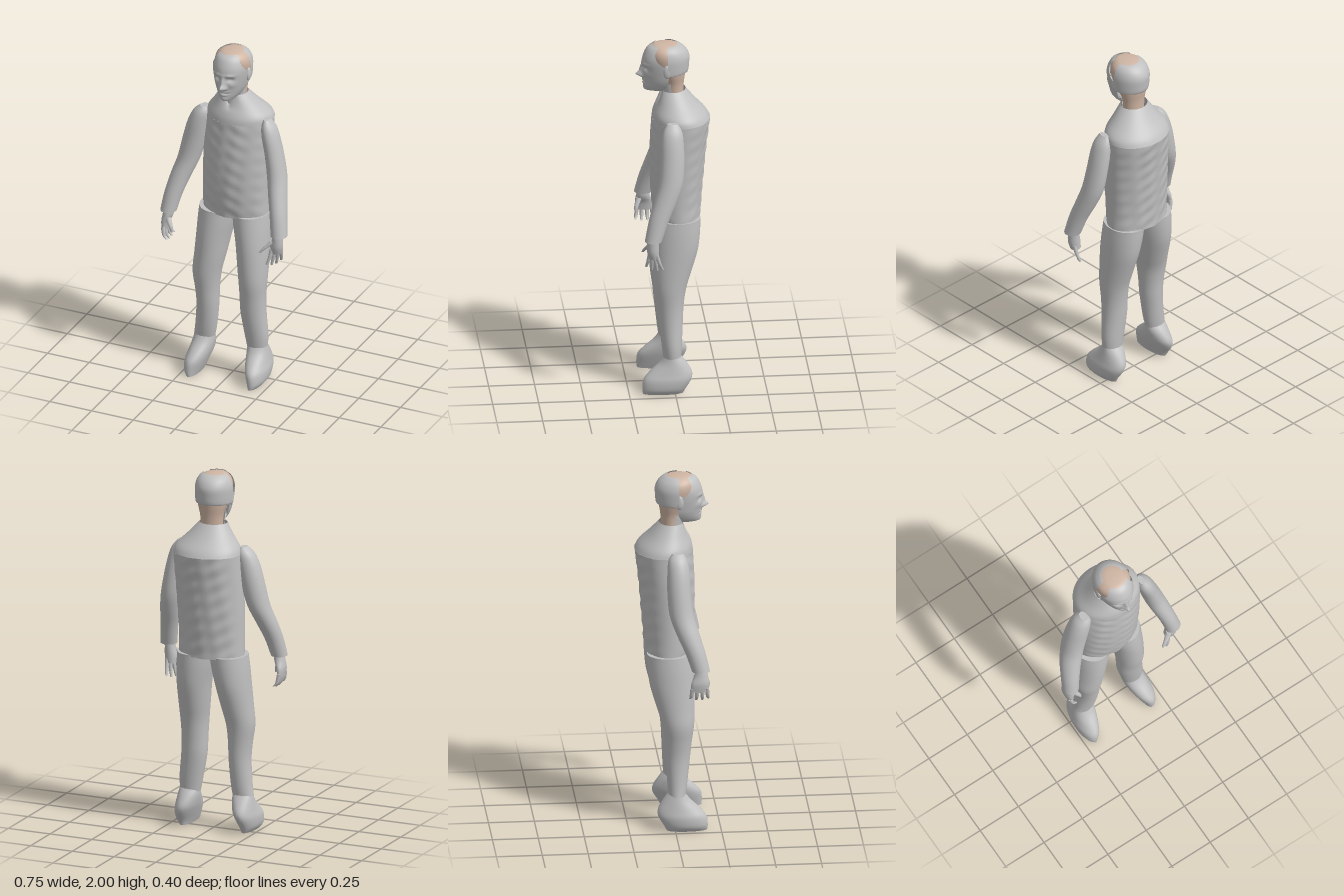
import * as THREE from 'three';

const grey = new THREE.MeshStandardMaterial({ color: 0xc0c0c0, side: THREE.DoubleSide });
grey.name = 'plain grey';
const tan = new THREE.MeshStandardMaterial({ color: 0xcfb5a3 });
tan.name = 'skin tan';

const gauss = (x, y, cx, cy, sx, sy) => Math.exp(-(((x - cx) / sx) ** 2) - ((y - cy) / sy) ** 2);

// Catmull-Rom subdivision of the section rows
function refine(rows, steps) {
  const out = [];
  for (let i = 0; i < rows.length - 1; i++) {
    const p = [rows[Math.max(i - 1, 0)], rows[i], rows[i + 1], rows[Math.min(i + 2, rows.length - 1)]];
    for (let s = 0; s < steps; s++) {
      const t = s / steps;
      out.push(p[1].map((b, k) => {
        const a = p[0][k], c = p[2][k], d = p[3][k];
        return b + 0.5 * t * (c - a + t * (2 * a - 5 * b + 4 * c - d + t * (3 * (b - c) + d - a)));
      }));
    }
  }
  out.push(rows[rows.length - 1]);
  return out;
}

// Skin over oval sections, bottom to top: [y, xMin, xMax, zMin, zMax, arc half-angle (open skins)]
function loft(name, rows, material, { seg = 32, steps = 4, mid = 0, open = false, caps = true, warp } = {}) {
  const fine = refine(rows, steps);
  const n = open ? seg + 1 : seg;
  const pos = [], index = [];
  for (const [y, x0, x1, z0, z1, arc = Math.PI] of fine) {
    for (let j = 0; j < n; j++) {
      const a = mid - arc + (2 * arc * j) / seg;
      const v = new THREE.Vector3((x0 + x1) / 2 + ((x1 - x0) / 2) * Math.sin(a), y,
        (z0 + z1) / 2 + ((z1 - z0) / 2) * Math.cos(a));
      if (warp) warp(v, a);
      pos.push(v.x, v.y, v.z);
    }
  }
  for (let i = 0; i < fine.length - 1; i++) {
    for (let j = 0; j < seg; j++) {
      const a = i * n + j, b = i * n + ((j + 1) % n);
      index.push(a, b, b + n, a, b + n, a + n);
    }
  }
  if (caps && !open) {
    // separate rim vertices keep the cap edges sharp
    for (const [row, up] of [[0, false], [fine.length - 1, true]]) {
      const start = pos.length / 3, r = fine[row];
      pos.push(...pos.slice(row * n * 3, (row + 1) * n * 3));
      pos.push((r[1] + r[2]) / 2, r[0], (r[3] + r[4]) / 2);
      for (let j = 0; j < n; j++) {
        const a = start + j, b = start + ((j + 1) % n);
        index.push(start + n, up ? a : b, up ? b : a);
      }
    }
  }
  const g = new THREE.BufferGeometry();
  g.setAttribute('position', new THREE.Float32BufferAttribute(pos, 3));
  g.setIndex(index);
  g.computeVertexNormals();
  const mesh = new THREE.Mesh(g, material);
  mesh.name = name;
  return mesh;
}

// Finger through points listed tip to root: [x, y, z, radius]
const finger = (name, pts) => loft(name,
  pts.map(([x, y, z, r]) => [y, x - r, x + r, z - r, z + r]), grey, { seg: 10, steps: 4 });

function ball(name, x, y, z, sx, sy, sz) {
  const m = new THREE.Mesh(new THREE.SphereGeometry(1, 20, 14), grey);
  m.name = name;
  m.position.set(x, y, z);
  m.scale.set(sx, sy, sz);
  return m;
}

// Soft cloth dents
function dent(v) {
  const w = 0.0025 * (Math.sin(v.x * 47 + v.y * 31) * Math.sin(v.y * 43 - v.x * 29) + 0.5 * Math.sin(v.y * 71 + v.x * 60));
  v.z += Math.sign(v.z + 0.03) * w * Math.min(1, Math.abs(v.z + 0.03) * 15);
}

// Facial relief
function faceRelief(v) {
  if (v.z < 0.04) return;
  const x = v.x - 0.01, y = v.y;
  v.z += 0.016 * gauss(x, y, 0, 1.85, 0.012, 0.03) + 0.032 * gauss(x, y, 0, 1.822, 0.016, 0.015);
  v.z += 0.007 * gauss(x, y, 0, 1.791, 0.025, 0.006) + 0.008 * gauss(x, y, 0, 1.774, 0.022, 0.007);
  v.z -= 0.007 * gauss(x, y, 0, 1.782, 0.03, 0.004);
  v.z += 0.006 * gauss(x, y, 0, 1.748, 0.022, 0.012);
  for (const s of [-1, 1]) {
    v.z -= 0.014 * gauss(x, y, s * 0.037, 1.868, 0.02, 0.012);
    v.z += 0.006 * gauss(x, y, s * 0.038, 1.893, 0.026, 0.008);
    v.z += 0.006 * gauss(x, y, s * 0.05, 1.835, 0.02, 0.018);
    v.z += 0.01 * gauss(x, y, s * 0.016, 1.816, 0.008, 0.008);
  }
}

function makeHead() {
  const head = new THREE.Group();
  head.name = 'head';
  head.add(loft('skull', [
    [1.66, -0.05, 0.07, -0.06, 0.045], [1.76, -0.055, 0.075, -0.062, 0.045],
    [1.82, -0.07, 0.09, -0.07, 0.07], [1.88, -0.085, 0.105, -0.078, 0.115],
    [1.93, -0.09, 0.11, -0.08, 0.13], [1.965, -0.08, 0.1, -0.068, 0.128],
    [1.988, -0.055, 0.076, -0.04, 0.112], [1.997, -0.03, 0.05, -0.01, 0.09], [2, 0.005, 0.015, 0.03, 0.05],
  ], tan, { seg: 40 }));
  head.add(loft('face', [
    [1.755, -0.04, 0.06, -0.03, 0.06, 1.5], [1.732, -0.03, 0.05, -0.05, 0.142, 1.5],
    [1.752, -0.05, 0.07, -0.07, 0.155, 1.55], [1.79, -0.07, 0.09, -0.09, 0.158, 1.6],
    [1.83, -0.081, 0.101, -0.1, 0.162, 1.6], [1.88, -0.09, 0.11, -0.1, 0.166, 1.55],
    [1.92, -0.093, 0.113, -0.1, 0.163, 1.15], [1.955, -0.085, 0.105, -0.09, 0.15, 0.95],
    [1.98, -0.07, 0.09, -0.07, 0.133, 0.95], [1.995, -0.052, 0.074, -0.05, 0.108, 0.9],
  ], grey, { seg: 72, steps: 8, open: true, warp: faceRelief }));
  head.add(loft('throat', [
    [1.65, -0.055, 0.075, -0.06, 0.062, 1.4], [1.71, -0.055, 0.075, -0.06, 0.058, 1.4],
    [1.78, -0.06, 0.08, -0.065, 0.07, 1.4],
  ], grey, { open: true }));
  // hair band round the back, open over the crown
  head.add(loft('backHair', [
    [1.84, -0.085, 0.105, -0.055, 0.125, 1.55], [1.84, -0.093, 0.113, -0.085, 0.155, 1.55],
    [1.89, -0.097, 0.117, -0.092, 0.162, 1.55], [1.93, -0.096, 0.116, -0.092, 0.162, 1.55],
    [1.965, -0.084, 0.106, -0.075, 0.145, 1.55], [1.988, -0.064, 0.088, -0.048, 0.118, 1.55],
    [1.997, -0.048, 0.07, -0.028, 0.098, 1.55],
  ], grey, { open: true, mid: Math.PI, seg: 36 }));
  for (const s of [-1, 1]) {
    head.add(ball('ear', 0.01 + s * 0.096, 1.866, 0.035, 0.011, 0.04, 0.022));
    head.add(ball('eye', 0.01 + s * 0.037, 1.868, 0.126, 0.013, 0.008, 0.012));
  }
  return head;
}

function makeHand(side) {
  const hand = new THREE.Group();
  if (side < 0) {
    hand.name = 'rightHand';
    hand.add(loft('palm', [[0.865, -0.362, -0.335, 0.075, 0.165], [0.91, -0.368, -0.325, 0.075, 0.172],
      [0.95, -0.362, -0.305, 0.09, 0.168], [0.99, -0.355, -0.3, 0.1, 0.16]], grey, { seg: 20 }));
    [0.082, 0.108, 0.134, 0.16].forEach((z, i) => hand.add(finger('finger', [
      [-0.322, 0.805 + 0.008 * Math.abs(i - 1.5), z + (i - 1.5) * 0.007, 0.006],
      [-0.34, 0.835, z + (i - 1.5) * 0.004, 0.01], [-0.35, 0.885, z, 0.012]])));
    hand.add(finger('thumb', [[-0.292, 0.868, 0.17, 0.007], [-0.3, 0.9, 0.168, 0.012], [-0.325, 0.945, 0.15, 0.017]]));
  } else {
    hand.name = 'leftHand';
    hand.add(loft('palm', [[0.86, 0.285, 0.345, 0.1, 0.155], [0.9, 0.284, 0.355, 0.1, 0.165],
      [0.95, 0.295, 0.355, 0.1, 0.165], [0.99, 0.3, 0.355, 0.1, 0.16]], grey, { seg: 20 }));
    for (let i = 0; i < 4; i++) {
      hand.add(finger('finger', [[0.275 + i * 0.016, 0.795 - 0.012 * (i === 1 || i === 2), 0.165 - i * 0.028, 0.007],
        [0.288 + i * 0.014, 0.83, 0.157 - i * 0.02, 0.01], [0.298 + i * 0.012, 0.885, 0.145 - i * 0.01, 0.013]]));
    }
    hand.add(finger('thumb', [[0.24, 0.868, 0.182, 0.007], [0.262, 0.892, 0.172, 0.011], [0.305, 0.935, 0.145, 0.018]]));
  }
  return hand;
}

export function createModel() {
  const model = new THREE.Group();
  model.name = 'standingMan';
  model.add(makeHead());

  // jacket body and sloping yoke with a notched collar
  model.add(loft('jacket', [
    [0.99, -0.185, 0.19, -0.152, 0.1], [1.1, -0.185, 0.19, -0.158, 0.115], [1.25, -0.184, 0.197, -0.17, 0.123],
    [1.4, -0.18, 0.205, -0.183, 0.122], [1.5, -0.175, 0.21, -0.195, 0.117], [1.57, -0.172, 0.212, -0.203, 0.113],
  ], grey, { seg: 64, steps: 10, warp: dent }));
  model.add(loft('yoke', [
    [1.57, -0.172, 0.212, -0.203, 0.113], [1.605, -0.16, 0.2, -0.182, 0.108],
    [1.66, -0.12, 0.145, -0.13, 0.088], [1.73, -0.075, 0.08, -0.072, 0.066],
  ], grey, {
    seg: 64, caps: false,
    warp: (v, a) => {
      const front = Math.max(0, 1 - Math.abs(Math.sin(a)) / 0.55) * (Math.cos(a) > 0 ? 1 : 0);
      v.y -= 0.06 * front * THREE.MathUtils.clamp((v.y - 1.64) / 0.09, 0, 1);
    },
  }));

  // sleeves
  model.add(loft('rightSleeve', [
    [0.98, -0.375, -0.285, 0.08, 0.178], [1.08, -0.363, -0.262, 0.045, 0.155], [1.18, -0.343, -0.228, 0, 0.125],
    [1.28, -0.315, -0.19, -0.035, 0.097], [1.4, -0.29, -0.158, -0.045, 0.085], [1.5, -0.263, -0.14, -0.043, 0.08],
    [1.57, -0.23, -0.132, -0.035, 0.068], [1.605, -0.19, -0.15, -0.012, 0.045],
  ], grey));
  model.add(loft('leftSleeve', [
    [0.968, 0.287, 0.378, 0.085, 0.178], [1.08, 0.268, 0.362, 0.045, 0.155], [1.18, 0.243, 0.345, 0, 0.125],
    [1.28, 0.222, 0.327, -0.035, 0.097], [1.4, 0.203, 0.302, -0.045, 0.085], [1.5, 0.184, 0.278, -0.043, 0.08],
    [1.56, 0.18, 0.255, -0.035, 0.068], [1.602, 0.19, 0.222, -0.012, 0.045],
  ], grey));
  model.add(makeHand(-1), makeHand(1));

  // trousers
  model.add(loft('rightTrouser', [
    [0.2, -0.228, -0.108, -0.035, 0.06], [0.27, -0.218, -0.096, -0.04, 0.07], [0.4, -0.208, -0.084, -0.047, 0.085],
    [0.5, -0.215, -0.08, -0.052, 0.095], [0.6, -0.228, -0.07, -0.066, 0.108], [0.7, -0.222, -0.05, -0.095, 0.112],
    [0.82, -0.215, -0.028, -0.13, 0.112], [0.92, -0.21, -0.008, -0.143, 0.106], [1.0, -0.203, 0.004, -0.146, 0.098],
  ], grey));
  model.add(loft('leftTrouser', [
    [0.19, 0.09, 0.205, -0.035, 0.06], [0.27, 0.075, 0.21, -0.04, 0.07], [0.4, 0.055, 0.2, -0.047, 0.085],
    [0.5, 0.052, 0.198, -0.052, 0.095], [0.6, 0.047, 0.203, -0.066, 0.108], [0.7, 0.036, 0.205, -0.095, 0.112],
    [0.82, 0.022, 0.205, -0.13, 0.112], [0.92, 0.004, 0.202, -0.143, 0.106], [1.0, -0.006, 0.196, -0.146, 0.098],
  ], grey));

  // shoes
  const shoe = [[0, -0.225, -0.16, -0.045, 0.175], [0.03, -0.245, -0.148, -0.06, 0.178],
    [0.08, -0.25, -0.13, -0.09, 0.172], [0.12, -0.242, -0.118, -0.093, 0.14],
    [0.17, -0.232, -0.11, -0.065, 0.085], [0.21, -0.224, -0.112, -0.033, 0.057]];
  model.add(loft('rightShoe', shoe, grey));
  model.add(loft('leftShoe', shoe.map(([y, a, b, c, d]) => [y, -b - 0.018, -a - 0.018, c, d]), grey));
  return model;
}
